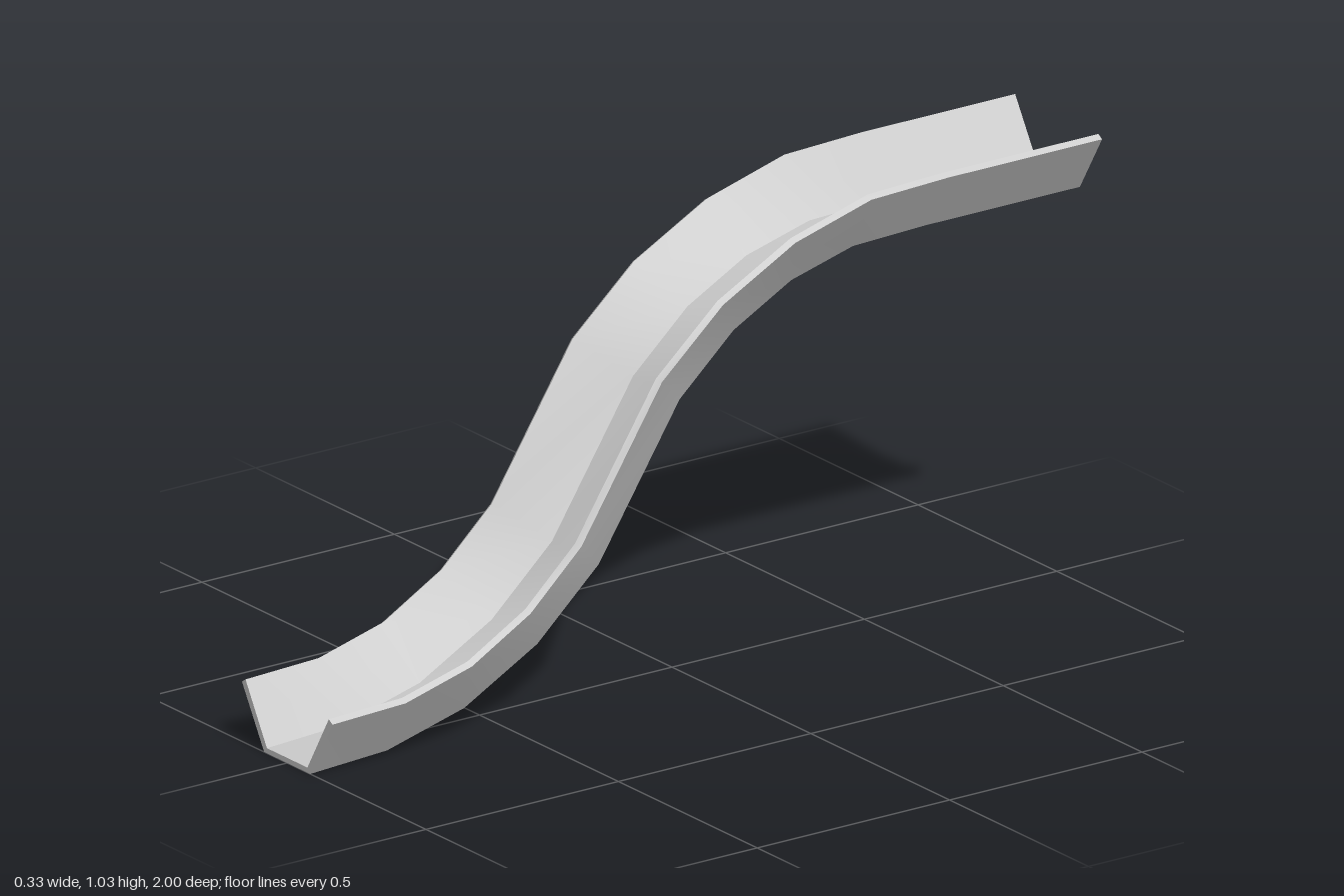
import * as THREE from 'three';

// Stations along the slide: [z, y] of the underside, then [z, y] of the rim
const STATIONS = [
  [1, 0, 1, 0.143], [0.8, 0.01, 0.81, 0.15], [0.6, 0.062, 0.64, 0.195],
  [0.41, 0.165, 0.49, 0.28], [0.25, 0.31, 0.36, 0.4], [0.04, 0.635, 0.15, 0.725],
  [-0.1, 0.76, -0.01, 0.865], [-0.25, 0.84, -0.2, 0.965], [-0.41, 0.882, -0.4, 1.02],
  [-0.6, 0.888, -0.6, 1.027], [-1, 0.888, -1, 1.027],
];

// Trough cross-section, counter-clockwise: outside then inside; [x, height from 0 to 1]
const half = [[0.163, 0.94], [0.083, 0], [0.073, 0.08], [0.15, 1]];
const mirror = ([x, t]) => [-x, t];
const PROFILE = [
  mirror(half[0]), mirror(half[1]), half[1], half[0],
  half[3], half[2], mirror(half[2]), mirror(half[3]),
];

function createChuteGeometry() {
  const positions = [];
  const indices = [];
  const add = ([z0, y0, z1, y1], [x, t]) =>
    positions.push(x, y0 + (y1 - y0) * t, z0 + (z1 - z0) * t) / 3 - 1;

  // One strip per profile edge: smooth along the run, sharp across it
  PROFILE.forEach((a, i) => {
    const b = PROFILE[(i + 1) % PROFILE.length];
    STATIONS.forEach((station, s) => {
      const p = add(station, a);
      const q = add(station, b);
      if (s > 0) indices.push(p - 2, p, q - 2, q - 2, p, q);
    });
  });

  // End caps: three quads joining the outside to the inside
  const cap = (station, flip) => {
    const v = PROFILE.map((p) => add(station, p));
    for (let k = 0; k < 3; k++) {
      const [a, b, c, d] = [v[k], v[k + 1], v[6 - k], v[7 - k]];
      if (flip) indices.push(a, c, b, a, d, c);
      else indices.push(a, b, c, a, c, d);
    }
  };
  cap(STATIONS[0], false);
  cap(STATIONS[STATIONS.length - 1], true);

  const geometry = new THREE.BufferGeometry();
  geometry.setAttribute('position', new THREE.Float32BufferAttribute(positions, 3));
  geometry.setIndex(indices);
  geometry.computeVertexNormals();
  return geometry;
}

export function createModel() {
  const group = new THREE.Group();
  group.name = 'slide';
  const material = new THREE.MeshStandardMaterial({ color: 0xcccccc });
  const chute = new THREE.Mesh(createChuteGeometry(), material);
  chute.name = 'chute';
  group.add(chute);
  return group;
}
